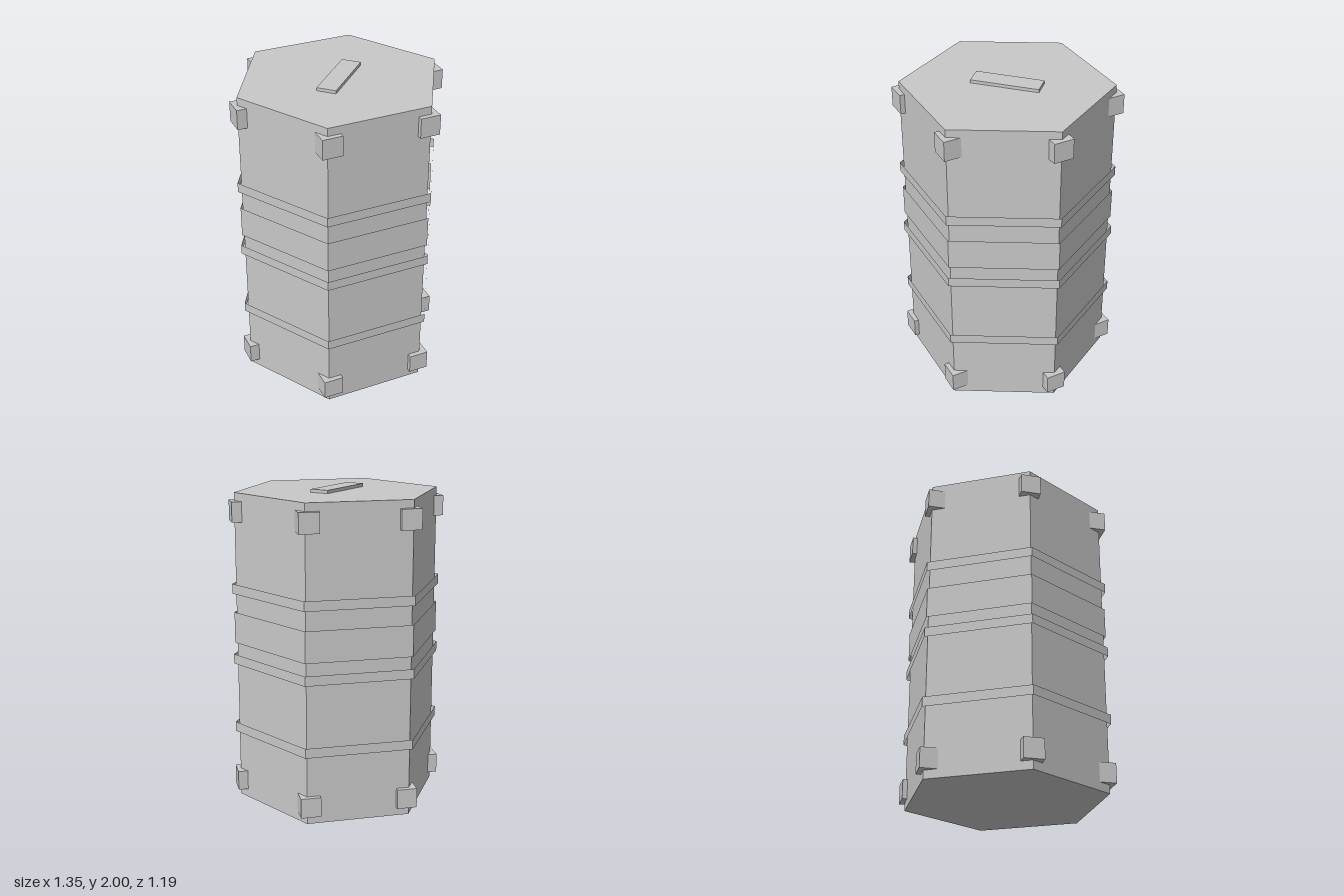
import * as THREE from 'three';

export function createModel() {
  const model = new THREE.Group();
  model.name = 'hexagonalCanister';
  const grey = new THREE.MeshStandardMaterial({ color: 0xc8c8c8, flatShading: true, side: THREE.DoubleSide });
  grey.name = 'lightGrey';

  function add(name, geometry, x, y, z) {
    const mesh = new THREE.Mesh(geometry, grey);
    mesh.name = name;
    mesh.position.set(x, y, z);
    model.add(mesh);
    return mesh;
  }

  // Six-sided prism with corners on the x axis
  const hexPrism = (radius, height, open) =>
    new THREE.CylinderGeometry(radius, radius, height, 6, 1, open, Math.PI / 6);

  add('body', hexPrism(0.65, 1.98, false), 0, 0.99, 0);

  // Open sleeves around the body: [centre height, radius, height]
  const bands = [
    [0.47, 0.675, 0.062],
    [0.925, 0.675, 0.062],
    [1.13, 0.665, 0.198],
    [1.38, 0.675, 0.062],
  ];
  for (const [y, radius, height] of bands) {
    add(height > 0.1 ? 'wideBand' : 'narrowBand', hexPrism(radius, height, true), 0, y, 0);
  }

  // Square blocks on every corner, near the bottom and the top
  const block = new THREE.BoxGeometry(0.126, 0.126, 0.126);
  for (const [name, y] of [['lowerCornerBlock', 0.117], ['upperCornerBlock', 1.867]]) {
    for (let i = 0; i < 6; i++) {
      const angle = (i * Math.PI) / 3;
      add(name, block, 0.612 * Math.cos(angle), y, 0.612 * Math.sin(angle));
    }
  }

  // Diagonal bar on the lid
  const bar = add('lidBar', new THREE.BoxGeometry(0.426, 0.04, 0.122), 0, 1.98, 0);
  bar.rotation.y = Math.PI / 4;

  return model;
}
